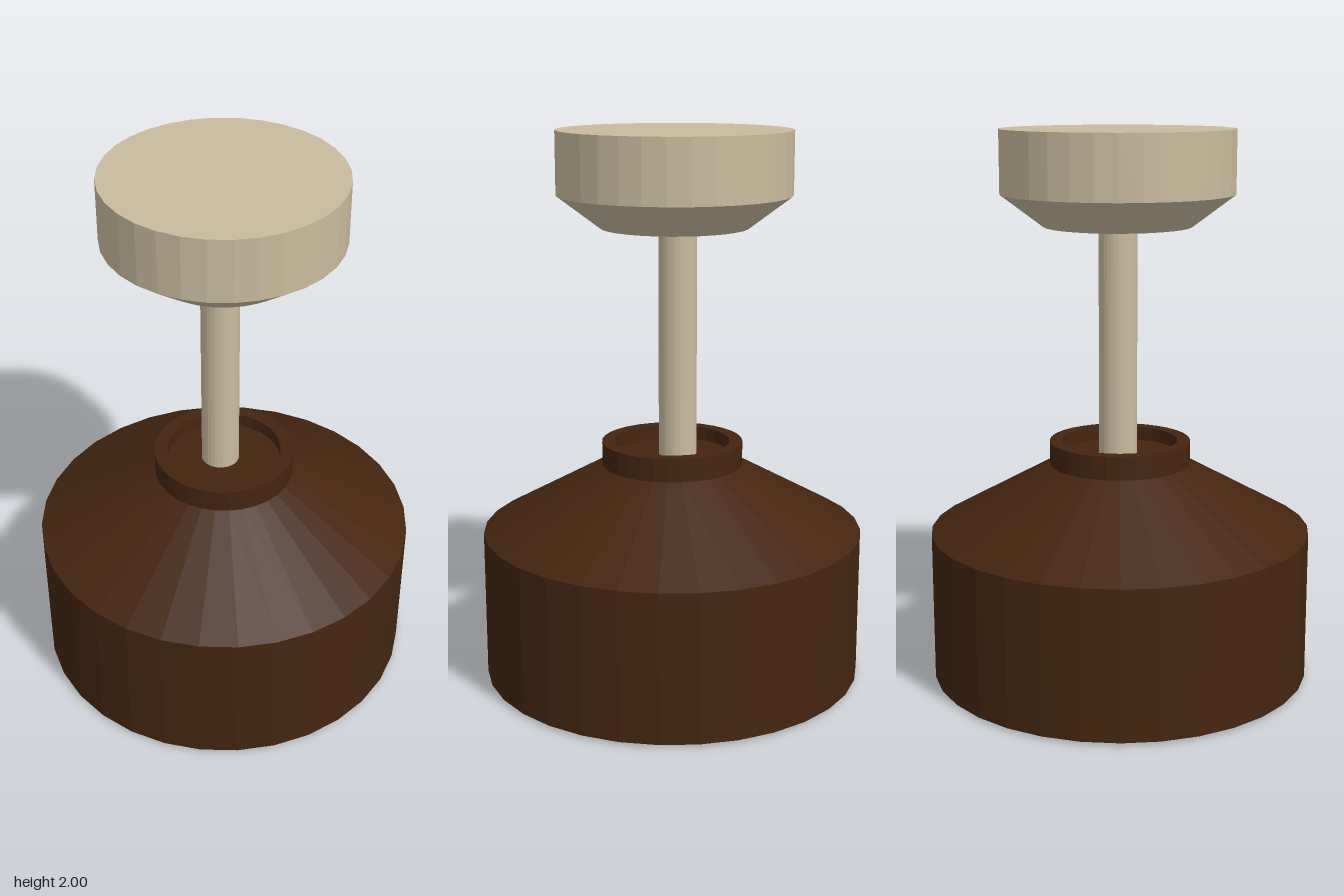
import * as THREE from 'three';

export function createModel() {
  const model = new THREE.Group();
  const material = (name, color) =>
    Object.assign(new THREE.MeshStandardMaterial({ color, flatShading: true }), { name });
  const brown = material('dark brown', 0x44250f);
  const cream = material('cream', 0xc9bb9d);
  const glass = material('pale glass', 0xc6cbd4);

  const add = (name, geometry, mat, x = 0, y = 0, z = 0) => {
    const mesh = new THREE.Mesh(geometry, mat);
    mesh.name = name;
    mesh.position.set(x, y, z);
    model.add(mesh);
  };
  // Profiles are [radius, height], up the outside and down the inside
  const lathe = (profile, sides) =>
    new THREE.LatheGeometry(profile.map(([r, y]) => new THREE.Vector2(r, y)), sides);

  // Hollow shade with drum wall, sloping shoulder and open collar
  add('shade', lathe([
    [0.618, 0], [0.695, 0.01], [0.695, 0.55], [0.257, 0.795], [0.257, 0.88],
    [0.21, 0.88], [0.21, 0.745], [0.618, 0.52], [0.618, 0],
  ], 32), brown);

  // Socket closing the collar from inside
  add('socket', lathe([[0, 0.54], [0.15, 0.54], [0.15, 0.74], [0.21, 0.745], [0.21, 0.83], [0, 0.83]], 32), brown);

  // Bulb hanging inside the drum
  add('bulb', new THREE.SphereGeometry(0.206, 32, 20), glass, 0, 0.36, 0);

  // Stem, standing slightly off centre
  add('stem', new THREE.CylinderGeometry(0.069, 0.069, 0.86, 32), cream, 0.003, 1.25, -0.02);

  // Ceiling canopy with a tapered underside
  add('canopy', lathe([[0, 1.66], [0.265, 1.66], [0.418, 1.775], [0.418, 2], [0, 2]], 32), cream, 0.006, 0, -0.007);

  return model;
}
